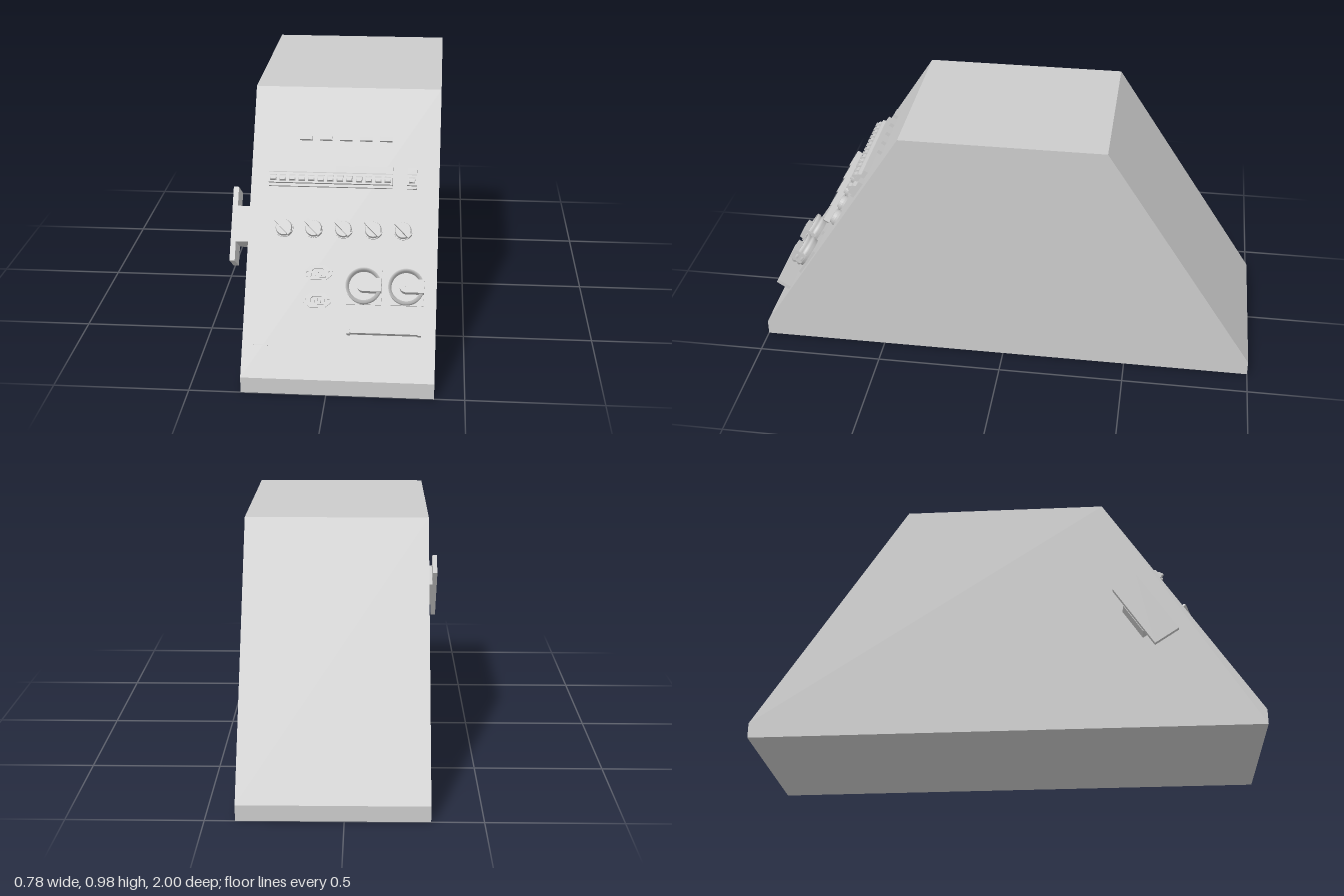
import * as THREE from 'three';

const mat = new THREE.MeshStandardMaterial({ color: 0xcccccc, flatShading: true });
const smooth = new THREE.MeshStandardMaterial({ color: 0xcccccc, side: THREE.DoubleSide });
const TILT = -Math.atan2(0.6, 0.92); // lean of the control panel

function add(parent, name, geometry, x = 0, y = 0, z = 0, material = mat) {
  const mesh = new THREE.Mesh(geometry, material);
  mesh.name = name;
  mesh.position.set(x, y, z);
  parent.add(mesh);
  return mesh;
}

// box standing on the panel: centre x, bottom edge v, base height n
function block(parent, name, x, v, n, w, h, d) {
  return add(parent, name, new THREE.BoxGeometry(w, h, d), x, v + h / 2, n + d / 2);
}

// cylinder whose axis is the panel normal, standing at height n
function disc(parent, name, x, v, n, r, d, sides = 32, r2 = r) {
  const g = new THREE.CylinderGeometry(r2, r, d, sides).rotateX(Math.PI / 2);
  return add(parent, name, g, x, v, n + d / 2);
}

function polygon(points) {
  return new THREE.Shape(points.map(([x, y]) => new THREE.Vector2(x, y)));
}

function extrude(shape, depth) {
  return new THREE.ExtrudeGeometry(shape, { depth, bevelEnabled: false, curveSegments: 8 });
}

function makeGroup(parent, name, x = 0, v = 0) {
  const g = new THREE.Group();
  g.name = name;
  g.position.set(x, v, 0);
  parent.add(g);
  return g;
}

// circuit breaker: stepped side profile with a toggle in the nose
function breaker(parent, x, w) {
  const g = makeGroup(parent, 'breaker', x, 0.71);
  const profile = polygon([[0, 0], [0.014, 0], [0.014, 0.01], [0.03, 0.01],
    [0.03, 0.048], [0.018, 0.054], [0.018, 0.079], [0, 0.079]]);
  const body = add(g, 'breakerBody', extrude(profile, w), w / 2);
  body.rotation.y = -Math.PI / 2;
  const hub = add(g, 'toggleHub', new THREE.CylinderGeometry(0.012, 0.012, w * 0.66, 16), 0, 0.028, 0.029);
  hub.rotation.z = Math.PI / 2;
  block(g, 'toggleLever', 0, 0.018, 0.034, w * 0.5, 0.009, 0.012);
}

// rotary switch: collar, tapered dial and diagonal grip
function knob(parent, x) {
  const g = makeGroup(parent, 'knob', x, 0.553);
  disc(g, 'knobCollar', 0, 0, 0, 0.034, 0.008);
  disc(g, 'knobDial', 0, 0, 0.008, 0.031, 0.014, 24, 0.028);
  const grip = block(g, 'knobGrip', 0, -0.009, 0.02, 0.074, 0.018, 0.026);
  grip.rotation.z = -0.78;
}

// appliance inlet: flange with screw holes, shroud and three pins
function inlet(parent, v) {
  const g = makeGroup(parent, 'inlet', -0.043, v);
  const flange = polygon([[-0.05, -0.008], [-0.043, -0.014], [-0.028, -0.026], [0.028, -0.026], [0.043, -0.014],
    [0.05, -0.008], [0.05, 0.008], [0.043, 0.014], [0.028, 0.026], [-0.028, 0.026], [-0.043, 0.014], [-0.05, 0.008]]);
  const opening = (s) => [[-0.028, -0.017], [0.028, -0.017], [0.028, 0.007],
    [0.018, 0.017], [-0.018, 0.017], [-0.028, 0.007]].map(([a, b]) => [a * s, b * s]);
  for (const s of [-1, 1]) {
    flange.holes.push(new THREE.Path().absarc(s * 0.04, 0, 0.005, 0, Math.PI * 2));
  }
  flange.holes.push(polygon(opening(0.85)));
  add(g, 'inletFlange', extrude(flange, 0.008));
  const shroud = polygon(opening(1));
  shroud.holes.push(polygon(opening(0.85)));
  add(g, 'inletShroud', extrude(shroud, 0.014));
  for (const [x, y] of [[-0.012, -0.005], [0, 0.004], [0.012, -0.005]]) {
    block(g, 'inletPin', x, y - 0.004, 0, 0.003, 0.008, 0.012);
  }
}

// round power socket: square plate, open collar and hooded lid catch
function powerSocket(parent, x) {
  const g = makeGroup(parent, 'powerSocket', x, 0.341);
  block(g, 'socketPlate', 0, -0.064, 0, 0.128, 0.128, 0.01);
  const profile = [[0.054, 0.01], [0.06, 0.01], [0.06, 0.022], [0.065, 0.024], [0.065, 0.034],
    [0.061, 0.036], [0.061, 0.044], [0.065, 0.046], [0.065, 0.058], [0.054, 0.058], [0.054, 0.01]];
  const collar = add(g, 'socketCollar',
    new THREE.LatheGeometry(profile.map(([r, h]) => new THREE.Vector2(r, h)), 40), 0, 0, 0, smooth);
  collar.rotation.x = Math.PI / 2;
  disc(g, 'socketFloor', 0, 0, 0.01, 0.055, 0.012);
  const hood = new THREE.Shape();
  hood.moveTo(0.064, -0.024);
  hood.lineTo(0.064, 0.024);
  hood.lineTo(0, 0.024);
  hood.absarc(0, 0, 0.024, Math.PI / 2, Math.PI * 1.5, false);
  add(g, 'socketHood', extrude(hood, 0.054), 0, 0, 0.022);
  disc(g, 'hoodPivot', 0, 0, 0.076, 0.005, 0.002, 16);
}

export function createModel() {
  const model = new THREE.Group();
  model.name = 'controlConsole';

  // cabinet with sloping front and back
  const side = polygon([[-1, 0], [1, 0], [1, 0.06], [0.4, 0.98], [-0.4, 0.98], [-1, 0.06]]);
  const cabinet = add(model, 'cabinet', extrude(side, 0.7), -0.31);
  cabinet.rotation.y = Math.PI / 2;

  // side hanger, parallel to the front slope
  const hanger = new THREE.Group();
  hanger.name = 'sideHanger';
  hanger.position.set(0, 0.465, 0.555);
  hanger.rotation.x = TILT;
  model.add(hanger);
  add(hanger, 'hangerPlate', new THREE.BoxGeometry(0.02, 0.285, 0.113), -0.38);
  add(hanger, 'hangerStem', new THREE.BoxGeometry(0.06, 0.137, 0.118), -0.34);

  // control panel frame: x across, y up the slope, z outwards
  const panel = new THREE.Group();
  panel.name = 'controlPanel';
  panel.position.set(0, 0.06, 1);
  panel.rotation.x = TILT;
  model.add(panel);

  for (let i = 0; i < 5; i++) {
    block(panel, 'indicator', -0.111 + i * 0.0748, 0.889, 0, 0.047, 0.016, 0.018);
    knob(panel, -0.178 + i * 0.11);
  }

  // breaker row and the single breaker beside it
  const pitch = 0.46 / 13;
  for (let i = 0; i < 13; i++) breaker(panel, -0.242 + (i + 0.5) * pitch, pitch);
  breaker(panel, 0.2895, pitch);

  inlet(panel, 0.389);
  inlet(panel, 0.288);
  powerSocket(panel, 0.126);
  powerSocket(panel, 0.28);

  // shelf with end brackets
  block(panel, 'shelf', 0.204, 0.168, 0, 0.268, 0.01, 0.06);
  for (const x of [0.076, 0.332]) block(panel, 'shelfBracket', x, 0.165, 0, 0.012, 0.016, 0.058);

  // narrow slot trim
  block(panel, 'slotTrim', -0.22, 0.119, 0, 0.1, 0.003, 0.001);

  return model;
}
